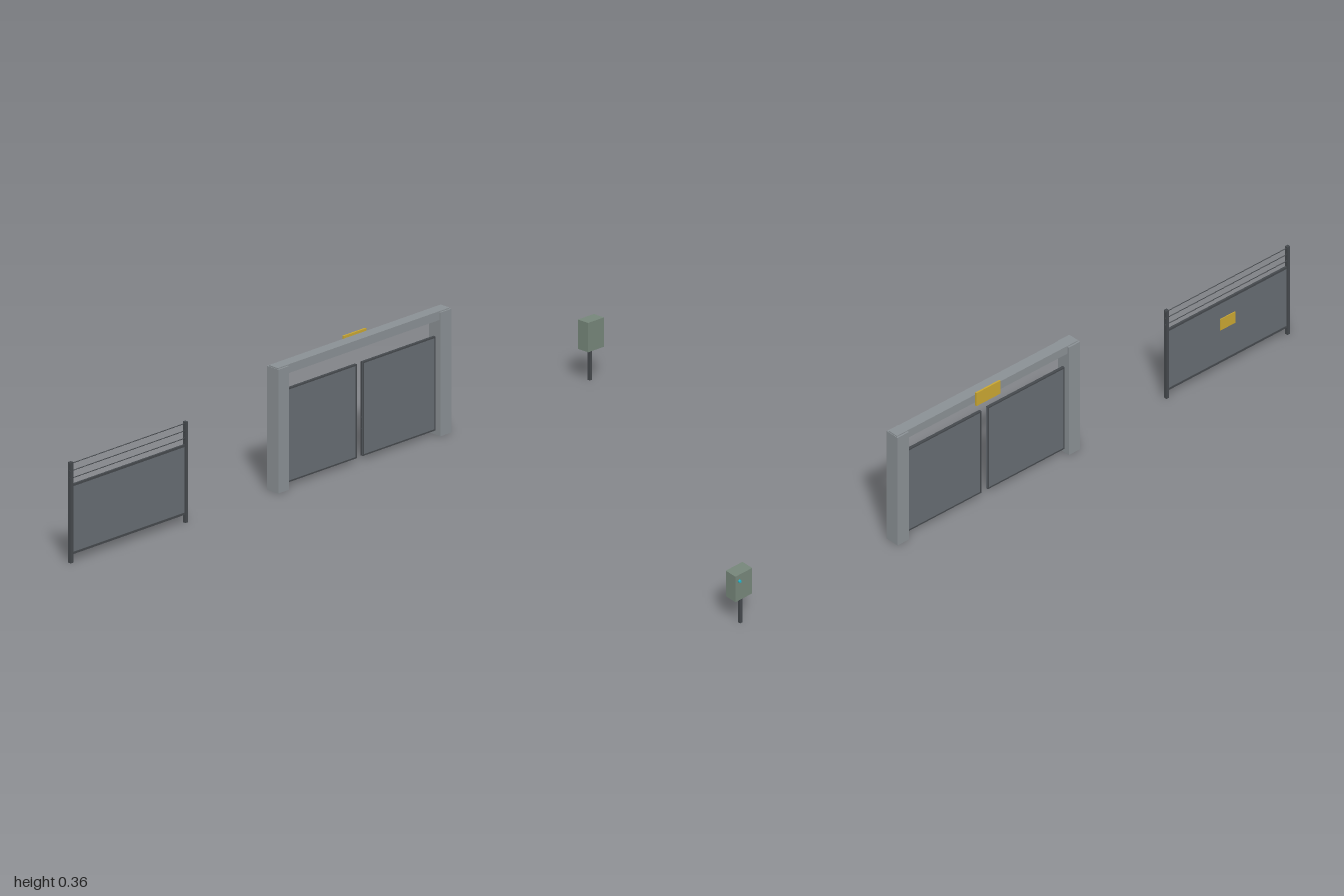
import * as THREE from 'three';

const mat = (color) => new THREE.MeshStandardMaterial({ color });

export function createModel() {
  const concrete = mat(0x8a9094), steel = mat(0x666c72), dark = mat(0x45494d);
  const yellow = mat(0xc8a632), green = mat(0x76867a), cyan = mat(0x20b8d0);
  const root = new THREE.Group();
  root.name = 'perimeterSet';

  const group = (name) => {
    const g = new THREE.Group();
    g.name = name;
    root.add(g);
    return g;
  };
  // Box given by its limits on each axis
  const box = (parent, name, m, [x0, x1], [y0, y1], [z0, z1]) => {
    const mesh = new THREE.Mesh(new THREE.BoxGeometry(x1 - x0, y1 - y0, z1 - z0), m);
    mesh.position.set((x0 + x1) / 2, (y0 + y1) / 2, (z0 + z1) / 2);
    mesh.name = name;
    parent.add(mesh);
    return mesh;
  };
  const rod = (parent, name, m, r, length, x, y, z, alongX = false) => {
    const mesh = new THREE.Mesh(new THREE.CylinderGeometry(r, r, length, 10), m);
    mesh.position.set(x, y, z);
    if (alongX) mesh.rotation.z = Math.PI / 2;
    mesh.name = name;
    parent.add(mesh);
  };

  // Fence section: posts, sheet panel with rails, three strands of wire
  const fence = group('fence');
  const postX = [-0.995, -0.561];
  box(fence, 'fencePanel', steel, [-0.992, -0.564], [0.025, 0.218], [-0.0015, 0.0015]);
  for (const y of [0.026, 0.218])
    box(fence, 'fenceRail', dark, [-0.992, -0.564], [y - 0.003, y + 0.003], [-0.003, 0.003]);
  for (const x of postX)
    box(fence, 'fencePost', dark, [x - 0.005, x + 0.005], [0, 0.285], [-0.005, 0.005]);
  for (const y of [0.238, 0.259, 0.28]) {
    rod(fence, 'fenceWire', dark, 0.0012, postX[1] - postX[0], -0.778, y, 0, true);
    for (const x of postX) rod(fence, 'insulator', dark, 0.004, 0.012, x, y, 0, true);
  }
  box(fence, 'fenceSign', yellow, [-0.805, -0.751], [0.129, 0.165], [-0.004, -0.0015]);

  // Gateway: two pillars, lintel, two framed leaves and a sign plate
  const gate = group('gate');
  for (const [x0, x1] of [[-0.232, -0.192], [0.381, 0.422]])
    box(gate, 'gatePillar', concrete, [x0, x1], [0, 0.35], [-0.0205, 0.0225]);
  box(gate, 'gateLintel', concrete, [-0.23, 0.42], [0.328, 0.353], [-0.0155, 0.018]);
  box(gate, 'gateSign', yellow, [0.053, 0.139], [0.318, 0.36], [-0.0205, -0.0155]);
  for (const [x0, x1] of [[-0.193, 0.083], [0.106, 0.382]]) {
    box(gate, 'gateLeaf', steel, [x0, x1], [0.013, 0.277], [-0.003, 0.003]);
    for (const y of [0.012, 0.274])
      box(gate, 'leafRail', dark, [x0, x1], [y, y + 0.004], [-0.004, 0.004]);
    for (const x of [x0, x1 - 0.004])
      box(gate, 'leafStile', dark, [x, x + 0.004], [0.012, 0.278], [-0.004, 0.004]);
  }

  // Control box on a slim post, with a small indicator on the back
  const control = group('controlBox');
  box(control, 'controlPost', dark, [0.963, 0.971], [0, 0.092], [-0.003, 0.005]);
  box(control, 'controlHousing', green, [0.94, 1], [0.09, 0.173], [-0.0165, 0.0215]);
  rod(control, 'indicatorLight', cyan, 0.004, 0.006, 0.986, 0.153, -0.0185);
  control.getObjectByName('indicatorLight').rotation.x = Math.PI / 2;

  return root;
}
